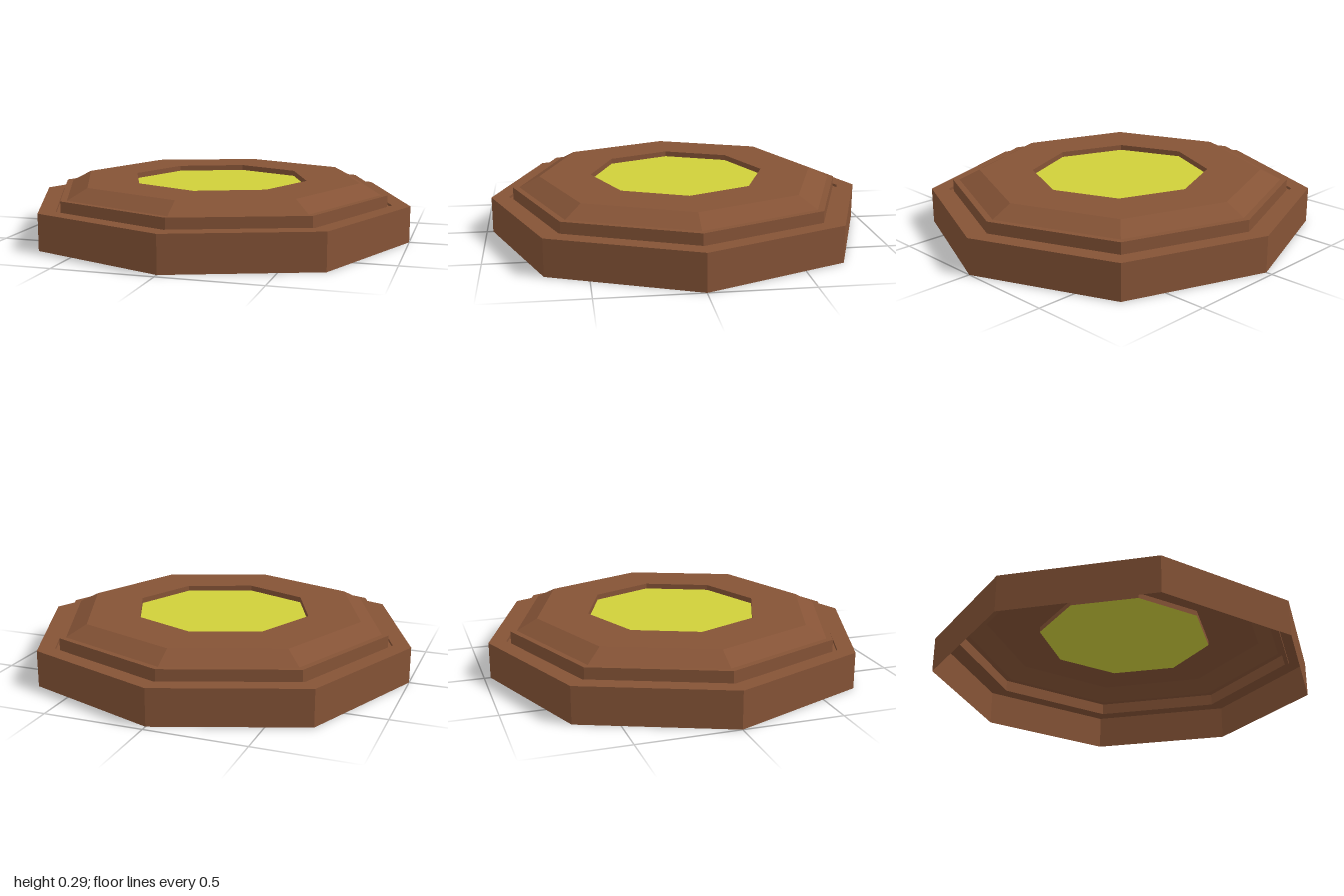
import * as THREE from 'three';

const TIP = 0.968; // front and back corners sit slightly closer in

const brown = new THREE.MeshStandardMaterial({ color: 0x855336, flatShading: true, side: THREE.DoubleSide });
const yellow = new THREE.MeshStandardMaterial({ color: 0xcfcf3a, flatShading: true, side: THREE.DoubleSide });

// Octagonal ring swept from [radius, height] points, listed outside-bottom to inside-top
function octagon(name, profile, material) {
  const geo = new THREE.LatheGeometry(profile.map(([r, y]) => new THREE.Vector2(r, y)), 8);
  const pos = geo.attributes.position;
  for (let i = 0; i < pos.count; i++) {
    const x = pos.getX(i), z = pos.getZ(i);
    const inner = Math.hypot(x, z) < 0.5;
    if (inner || Math.abs(x) < 1e-4) pos.setZ(i, z * TIP);
  }
  const flat = geo.toNonIndexed();
  flat.computeVertexNormals();
  const mesh = new THREE.Mesh(flat, material);
  mesh.name = name;
  return mesh;
}

export function createModel() {
  const group = new THREE.Group();
  group.name = 'octagonalPlate';
  group.add(
    // Open-bottomed outer wall with its flat rim
    octagon('baseRim', [[1, 0], [1, 0.185], [0.908, 0.185]], brown),
    // Narrow channel between rim and cap
    octagon('groove', [[0.908, 0.185], [0.908, 0.172], [0.884, 0.172]], brown),
    // Raised cap: wall, ledge, bevel and flat top
    octagon('cap', [[0.884, 0.172], [0.884, 0.235], [0.85, 0.235], [0.742, 0.29], [0.468, 0.29]], brown),
    // Short wall down to the sunken centre
    octagon('recessWall', [[0.468, 0.29], [0.468, 0.262]], brown),
    octagon('centrePanel', [[0.468, 0.262], [0, 0.262]], yellow),
  );
  return group;
}
